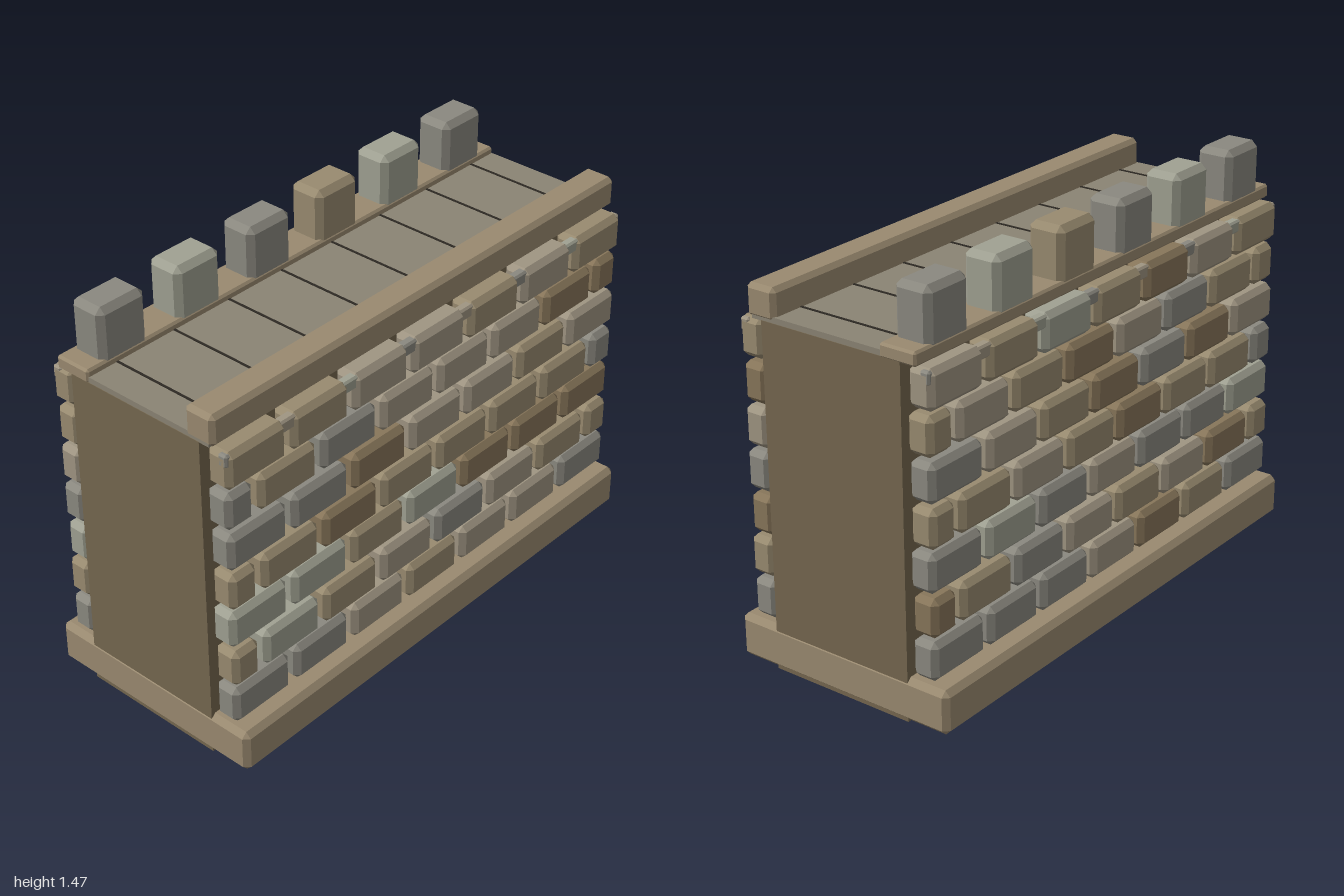
import * as THREE from 'three';
import { ConvexGeometry } from 'three/addons/geometries/ConvexGeometry.js';

const material = (color) => new THREE.MeshStandardMaterial({ color, flatShading: true });
const mats = {
  trim: material(0x9a8a70),
  core: material(0x75674f),
  floor: material(0x8b8474),
  joint: material(0x2e2a24),
  G: material(0x8b8980), // grey stone
  L: material(0xa0a192), // light stone
  S: material(0x9f9582), // beige stone
  T: material(0x998b70), // tan stone
  B: material(0x88765a), // brown stone
};

// Box between two x, y and z limits with every edge cut at 45 degrees
function chamferBox(name, mat, [x0, x1], [y0, y1], [z0, z1], c) {
  const half = [(x1 - x0) / 2, (y1 - y0) / 2, (z1 - z0) / 2];
  const points = [];
  for (const sx of [-1, 1]) for (const sy of [-1, 1]) for (const sz of [-1, 1]) {
    for (let axis = 0; axis < 3; axis++) {
      const p = half.map((h, i) => (i === axis ? h : h - c));
      points.push(new THREE.Vector3(sx * p[0], sy * p[1], sz * p[2]));
    }
  }
  const mesh = new THREE.Mesh(new ConvexGeometry(points), mat);
  mesh.position.set((x0 + x1) / 2, (y0 + y1) / 2, (z0 + z1) / 2);
  mesh.name = name;
  return mesh;
}

function plainBox(name, mat, [x0, x1], [y0, y1], [z0, z1]) {
  const mesh = new THREE.Mesh(new THREE.BoxGeometry(x1 - x0, y1 - y0, z1 - z0), mat);
  mesh.position.set((x0 + x1) / 2, (y0 + y1) / 2, (z0 + z1) / 2);
  mesh.name = name;
  return mesh;
}

// One letter per stone, courses listed from the bottom up
const frontCourses = ['GGSTSSG', 'TLTSGSTT', 'LLTLBBB', 'TTBTTTTG', 'GGBSSTS', 'GTGSSSBB', 'TTSSTST'];
const backCourses = ['GGGSBTG', 'BTGSTSBT', 'GLGSGGL', 'TTSTBTTG', 'GSTBGBS', 'TSTBSGTT', 'STLTBST'];

const PITCH = 2 / 7;
const GAP = 0.013;

// A course of stones; odd courses shift by half a stone
function addCourse(group, stones, y, z, chamfer) {
  const offset = stones.length === 8 ? PITCH / 2 : 0;
  [...stones].forEach((tone, i) => {
    const left = Math.max(-1, -1 + i * PITCH - offset) + GAP;
    const right = Math.min(1, -1 + (i + 1) * PITCH - offset) - GAP;
    group.add(chamferBox('stone', mats[tone], [left, right], y, z, chamfer));
  });
}

function stoneFace(name, courses) {
  const face = new THREE.Group();
  face.name = name;
  courses.forEach((stones, row) => {
    const y = 0.17 + row * 0.1545;
    const jitter = 0.004 * Math.sin(row * 2.3);
    addCourse(face, stones, [y, y + 0.14], [0.29 + jitter, 0.388 + jitter], 0.02);
  });
  // Thin levelling course let into the top row
  addCourse(face, 'GSLGSGLS', [1.185, 1.232], [0.345, 0.382], 0.007);
  return face;
}

export function createModel() {
  const wall = new THREE.Group();
  wall.name = 'castleWall';

  // Base and inner core
  wall.add(chamferBox('base', mats.trim, [-1, 1], [0, 0.16], [-0.44, 0.44], 0.02));
  wall.add(plainBox('core', mats.core, [-0.997, 0.997], [0.002, 1.245], [-0.28, 0.28]));

  // Stone facing on both sides
  wall.add(stoneFace('frontStones', frontCourses));
  const back = stoneFace('backStones', backCourses);
  back.rotation.y = Math.PI;
  wall.add(back);

  // Walkway slab with dark joints between the planks
  wall.add(plainBox('walkway', mats.floor, [-0.995, 0.995], [1.243, 1.265], [-0.33, 0.32]));
  for (let i = 0; i < 8; i++) {
    const x = -0.875 + i * 0.25;
    wall.add(plainBox('plankJoint', mats.joint, [x - 0.004, x + 0.004], [1.25, 1.268], [-0.2, 0.225]));
  }

  // Front parapet and rear ledge
  wall.add(chamferBox('frontParapet', mats.trim, [-1, 1], [1.245, 1.36], [0.222, 0.342], 0.016));
  wall.add(chamferBox('rearLedge', mats.trim, [-1, 1], [1.24, 1.29], [-0.342, -0.2], 0.008));

  // Merlons along the rear ledge
  const merlonTones = 'GLGTLG';
  for (let i = 0; i < 6; i++) {
    const x = (i - 2.5) * 0.333;
    const mat = mats[merlonTones[i]];
    wall.add(chamferBox('merlon', mat, [x - 0.1, x + 0.1], [1.265, 1.472], [-0.341, -0.201], 0.022));
  }
  return wall;
}
